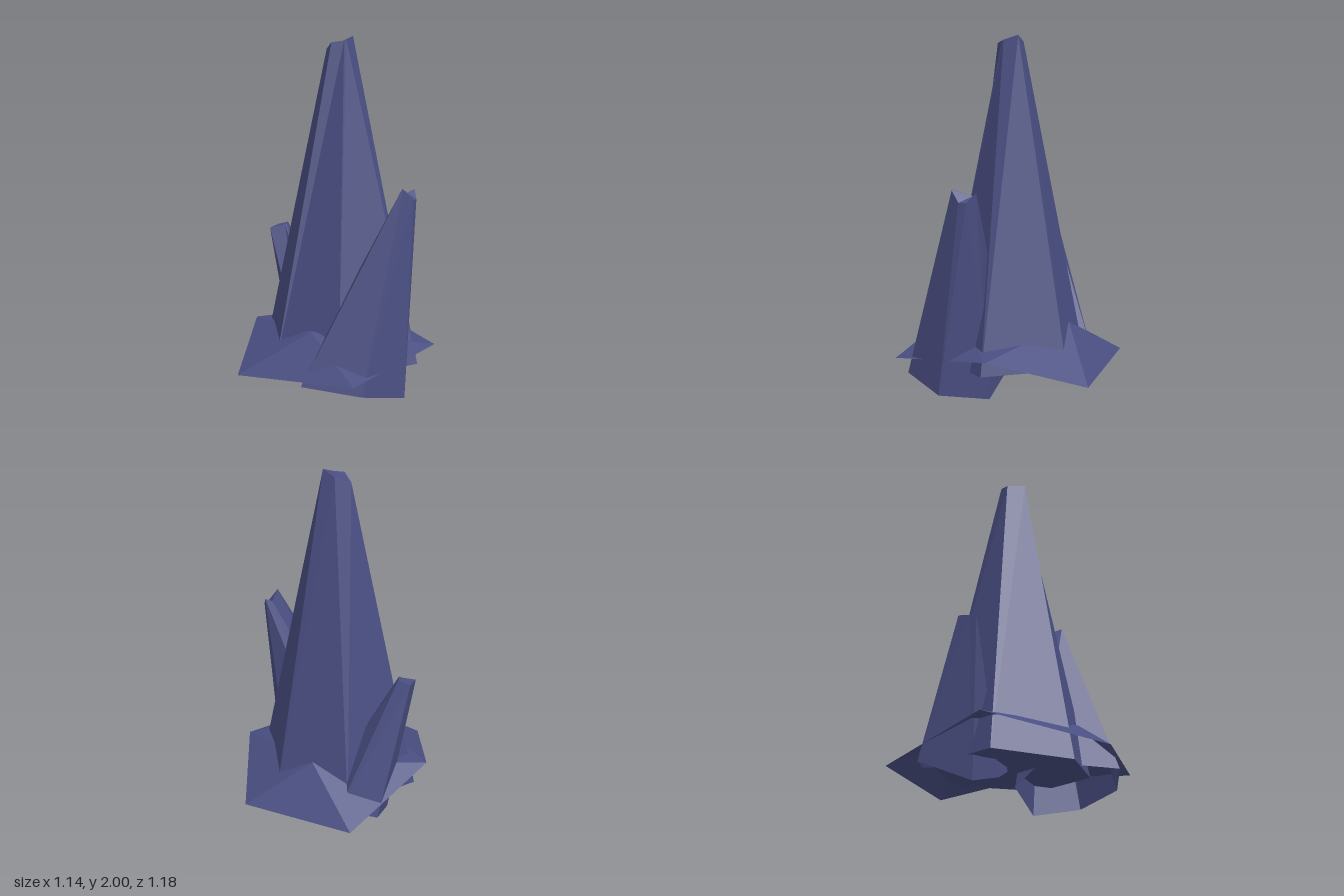
import * as THREE from 'three';

const crystalBlue = new THREE.MeshStandardMaterial({ color: 0x494e81, side: THREE.DoubleSide });
crystalBlue.name = 'crystalBlue';

// Flat-faceted mesh from corner points and triangles
function facets(name, points, index) {
  const indexed = new THREE.BufferGeometry();
  indexed.setAttribute('position', new THREE.Float32BufferAttribute(points.flat(), 3));
  indexed.setIndex(index);
  const geometry = indexed.toNonIndexed();
  geometry.computeVertexNormals();
  const mesh = new THREE.Mesh(geometry, crystalBlue);
  mesh.name = name;
  return mesh;
}

// Tapered crystal between two six-cornered rings (anticlockwise from above)
function crystal(name, closedBase, base, top) {
  const n = base.length;
  const index = [];
  for (let i = 0; i < n; i++) {
    const j = (i + 1) % n;
    index.push(i, j, n + j, i, n + j, n + i);
    if (i > 0 && i < n - 1) {
      index.push(n, n + i, n + i + 1);
      if (closedBase) index.push(0, i + 1, i);
    }
  }
  return facets(name, [...base, ...top], index);
}

export function createModel() {
  const group = new THREE.Group();
  group.name = 'crystalCluster';

  // Tall central crystal with a slanted tip
  group.add(crystal('mainCrystal', true,
    [[-0.49, 0.15, 0.03], [-0.22, 0.14, 0.385], [0.18, 0.15, 0.38],
      [0.49, 0.18, 0.015], [0.21, 0.17, -0.39], [-0.23, 0.17, -0.38]],
    [[-0.09, 1.93, -0.01], [-0.015, 1.96, 0.08], [0.043, 1.97, 0.038],
      [0.05, 1.975, 0.025], [0.05, 2, -0.06], [-0.02, 1.965, -0.07]]));

  // Medium crystal leaning out at the front left
  group.add(crystal('leftCrystal', false,
    [[-0.09, 0.18, 0.18], [0.05, 0.15, 0.565], [0.37, 0.12, 0.49],
      [0.51, 0.06, 0.25], [0.33, 0, 0.02], [0, 0.08, 0.01]],
    [[0.44, 1.15, 0.07], [0.457, 1.185, 0.18], [0.463, 1.18, 0.18],
      [0.5, 1.12, 0.13], [0.5, 1.12, 0.085], [0.47, 1.17, 0.04]]));

  // Small crystal at the back right
  group.add(crystal('rightCrystal', false,
    [[-0.37, 0.03, -0.1], [-0.25, 0.07, 0], [-0.1, 0.14, 0],
      [-0.05, 0.2, -0.25], [-0.2, 0.17, -0.44], [-0.41, 0.14, -0.38]],
    [[-0.5, 0.875, -0.09], [-0.5, 0.87, -0.05], [-0.42, 0.89, -0.095],
      [-0.42, 0.9, -0.105], [-0.43, 0.9, -0.145], [-0.5, 0.88, -0.15]]));

  // Faceted rock skirt, open underneath: two ridge ends, then the rim
  group.add(facets('baseRock',
    [[0, 0.39, 0.36], [0, 0.385, -0.35],
      [-0.33, 0.165, 0.59], [0.36, 0.195, 0.57], [0.57, 0.29, -0.04],
      [0.34, 0.13, -0.54], [-0.33, 0.155, -0.59], [-0.57, 0.32, 0]],
    [0, 2, 3, 0, 3, 4, 0, 4, 1, 1, 4, 5, 1, 5, 6, 1, 6, 7, 1, 7, 0, 0, 7, 2]));

  return group;
}
